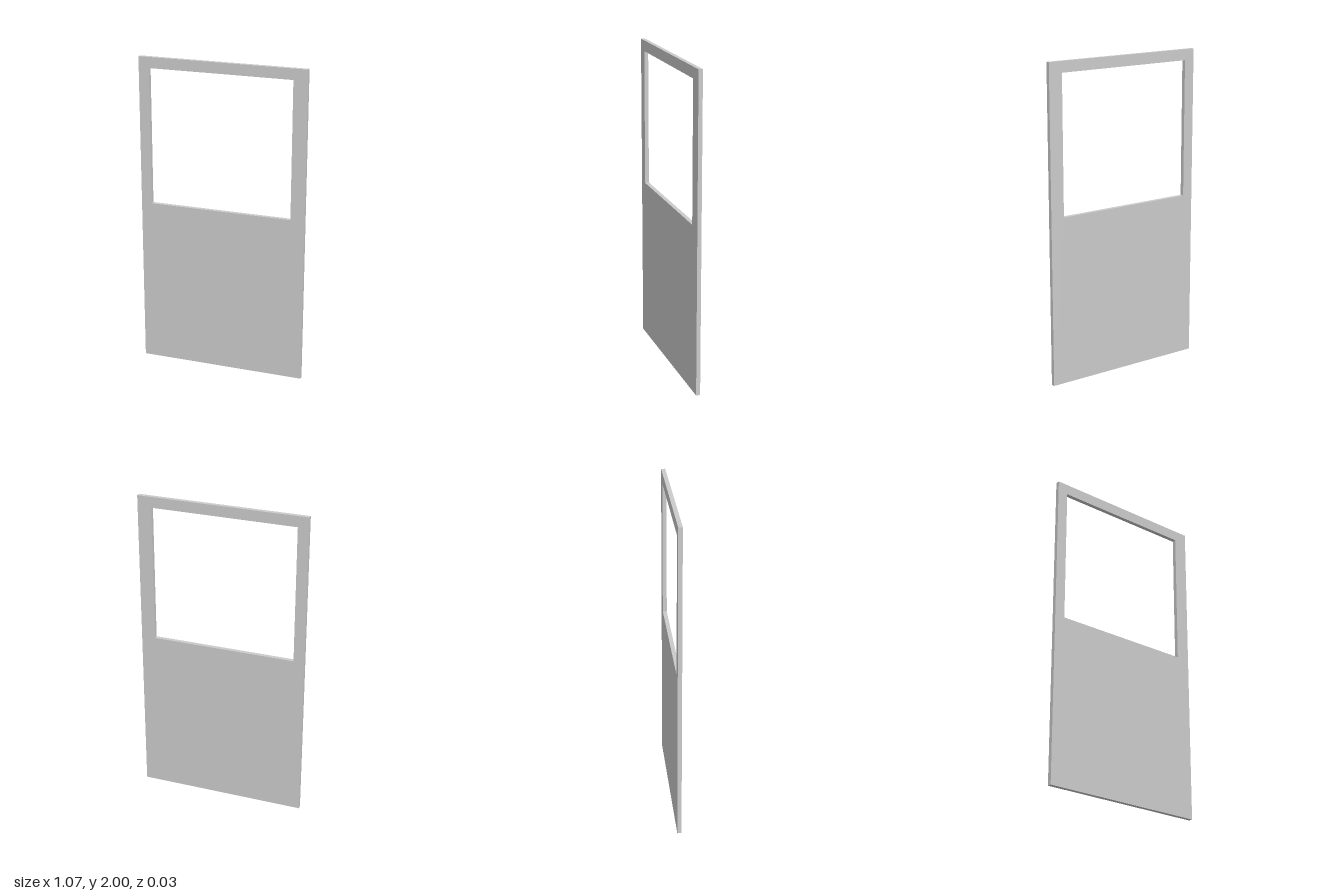
import * as THREE from 'three';

const WIDTH = 1.065, HEIGHT = 2, DEPTH = 0.026;
const OPENING = { left: -0.465, right: 0.444, bottom: 1.064, top: 1.932 };

// Closed rectangular outline, usable as a shape or a hole
function rectangle(PathType, left, right, bottom, top) {
  return new PathType([
    new THREE.Vector2(left, bottom),
    new THREE.Vector2(right, bottom),
    new THREE.Vector2(right, top),
    new THREE.Vector2(left, top),
  ]);
}

export function createModel() {
  const group = new THREE.Group();
  group.name = 'door';

  // Flat door panel with an off-centre window opening
  const outline = rectangle(THREE.Shape, -WIDTH / 2, WIDTH / 2, 0, HEIGHT);
  outline.holes.push(
    rectangle(THREE.Path, OPENING.left, OPENING.right, OPENING.bottom, OPENING.top)
  );
  const geometry = new THREE.ExtrudeGeometry(outline, { depth: DEPTH, bevelEnabled: false });
  geometry.translate(0, 0, -DEPTH / 2);

  const panel = new THREE.Mesh(geometry, new THREE.MeshStandardMaterial({ color: 0xcccccc }));
  panel.name = 'doorPanel';
  group.add(panel);
  return group;
}
